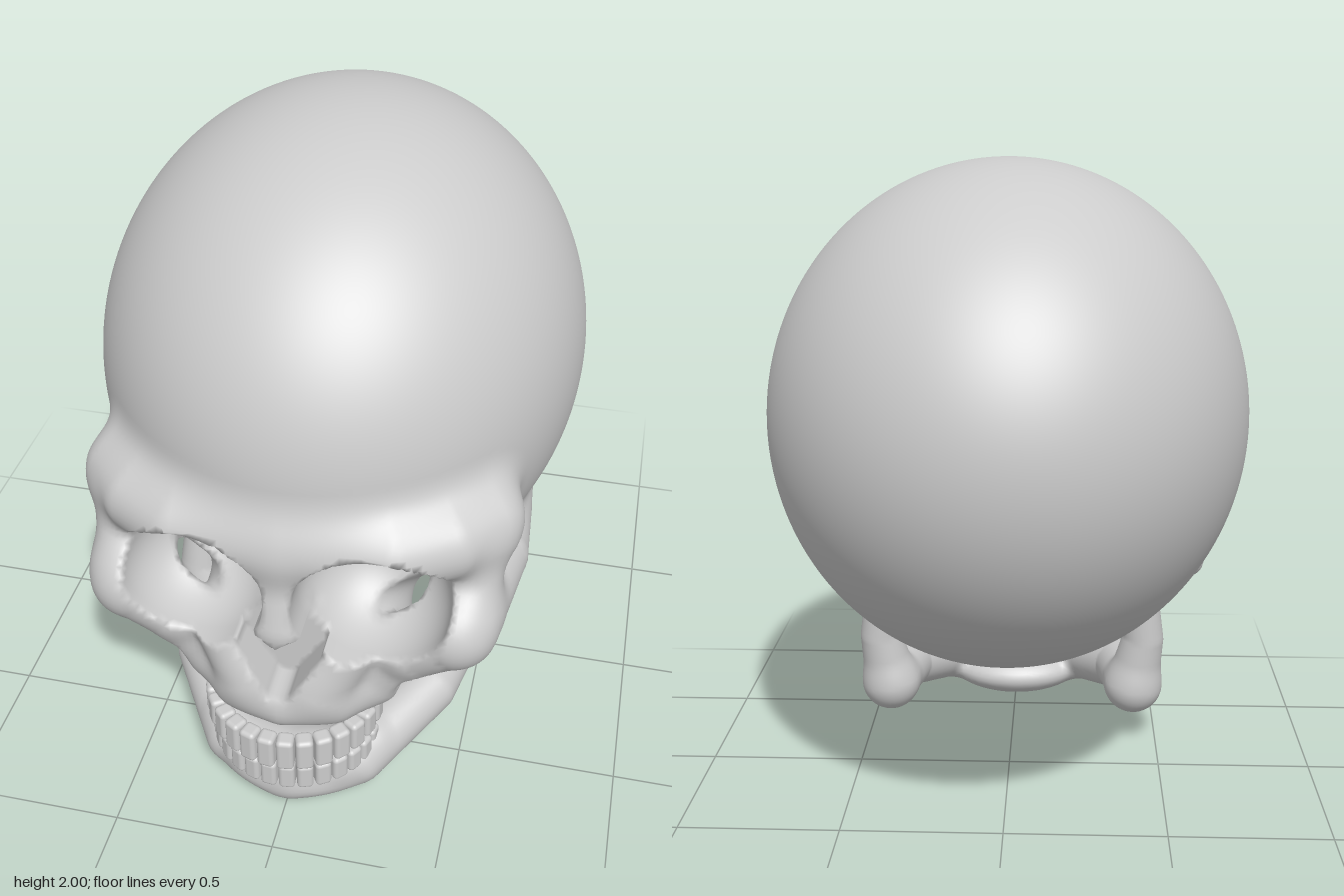
import * as THREE from 'three';
import { RoundedBoxGeometry } from 'three/addons/geometries/RoundedBoxGeometry.js';

// ---- distance helpers (all shapes are mirrored by using |x|) ----
const smoothMin = (a, b, k) => {
  const h = Math.max(k - Math.abs(a - b), 0) / k;
  return Math.min(a, b) - h * h * k / 4;
};
const smoothCut = (a, b, k) => -smoothMin(-a, b, k);

function ellipsoid(x, y, z, c, r) {
  const px = (x - c[0]) / r[0], py = (y - c[1]) / r[1], pz = (z - c[2]) / r[2];
  const k0 = Math.hypot(px, py, pz), k1 = Math.hypot(px / r[0], py / r[1], pz / r[2]);
  return k1 < 1e-6 ? -Math.min(...r) : k0 * (k0 - 1) / k1;
}

// Tapered rod through points [x, y, z, radius]
function rod(x, y, z, pts) {
  let d = Infinity;
  for (let i = 0; i < pts.length - 1; i++) {
    const a = pts[i], b = pts[i + 1];
    const bx = b[0] - a[0], by = b[1] - a[1], bz = b[2] - a[2];
    const px = x - a[0], py = y - a[1], pz = z - a[2];
    const t = Math.min(1, Math.max(0, (px * bx + py * by + pz * bz) / (bx * bx + by * by + bz * bz)));
    d = Math.min(d, Math.hypot(px - t * bx, py - t * by, pz - t * bz) - a[3] - t * (b[3] - a[3]));
  }
  return d;
}

// ---- skull shape ----
const brow = [[0, 1.05, 0.765, 0.115], [0.3, 1.05, 0.74, 0.12], [0.44, 1.055, 0.66, 0.12], [0.53, 1.06, 0.56, 0.115]];
const orbitSide = [[0.53, 1.0, 0.6, 0.08], [0.51, 0.82, 0.66, 0.09]];
const cheek = [[0.35, 0.68, 0.72, 0.09], [0.48, 0.765, 0.7, 0.13], [0.56, 0.77, 0.38, 0.095], [0.57, 0.755, 0.15, 0.07], [0.58, 0.74, -0.08, 0.035]];
const noseBridge = [[0, 1.0, 0.75, 0.1], [0, 0.79, 0.8, 0.1]];
const noseSide = [[0.17, 0.68, 0.76, 0.1], [0.1, 0.54, 0.79, 0.1]];
const cheekRoot = [[0.42, 0.69, 0.68, 0.09], [0.25, 0.52, 0.68, 0.1]];
const upperGum = [[0, 0.47, 0.81, 0.085], [0.14, 0.47, 0.77, 0.085], [0.22, 0.47, 0.67, 0.085], [0.25, 0.47, 0.5, 0.08]];
const noseHole = [[0.064, 0.708, 0, 0.062], [0.004, 0.56, 0, 0.034]];

function skullShape(sx, y, z) {
  const x = Math.abs(sx);
  let d = ellipsoid(x, y, z, [0, 1.22, -0.06], [0.74, 0.78, 0.88]);
  d = smoothMin(d, rod(x, y, z, brow), 0.1);
  d = smoothMin(d, ellipsoid(x, y, z, [0, 0.57, 0.5], [0.32, 0.24, 0.37]), 0.08);
  for (const part of [orbitSide, cheek, noseBridge, noseSide, cheekRoot, upperGum])
    d = smoothMin(d, rod(x, y, z, part), 0.06);
  // hollow beside the upper teeth
  d = smoothCut(d, ellipsoid(x, y, z, [0.42, 0.5, 0.71], [0.09, 0.085, 0.09]), 0.04);
  // eye sockets, straight in front and round at the back
  d = smoothCut(d, ellipsoid(x, y, Math.min(z, 0.78), [0.26, 0.88, 0.78], [0.22, 0.205, 0.25]), 0.012);
  // heart-shaped nose opening
  const hole = Math.max(rod(x, y, 0, noseHole), 0.75 - z);
  return smoothCut(d, hole, 0.012);
}

// ---- lower jaw shape ----
const jawBody = [[0, 0.115, 0.755, 0.108], [0.2, 0.135, 0.7, 0.09], [0.38, 0.195, 0.42, 0.088], [0.42, 0.205, 0.21, 0.09]];
const jawBranch = [[0.42, 0.21, 0.21, 0.09], [0.45, 0.38, 0.19, 0.07], [0.435, 0.62, 0.17, 0.052]];
const lowerGum = [[0, 0.155, 0.81, 0.055], [0.14, 0.16, 0.77, 0.055], [0.23, 0.18, 0.66, 0.055]];

function jawShape(sx, y, z) {
  const x = Math.abs(sx);
  let d = rod(x, y, z, jawBody);
  d = smoothMin(d, rod(x, y, z, jawBranch), 0.04);
  d = smoothMin(d, rod(x, y, z, lowerGum), 0.04);
  return smoothMin(d, ellipsoid(x, y, z, [0, 0.1, 0.66], [0.24, 0.088, 0.2]), 0.04);
}

// ---- turns a distance function into a smooth surface on a grid ----
function surface(f, min, max, cell) {
  const n = min.map((m, i) => Math.ceil((max[i] - m) / cell) + 1);
  const step = [1, n[0], n[0] * n[1]];
  const val = new Float32Array(n[0] * n[1] * n[2]);
  for (let k = 0, q = 0; k < n[2]; k++)
    for (let j = 0; j < n[1]; j++)
      for (let i = 0; i < n[0]; i++)
        val[q++] = f(min[0] + i * cell, min[1] + j * cell, min[2] + k * cell);

  const id = new Int32Array(val.length).fill(-1);
  const pos = [], nor = [], index = [], e = 0.004;
  const grad = (x, y, z) => new THREE.Vector3(
    f(x + e, y, z) - f(x - e, y, z), f(x, y + e, z) - f(x, y - e, z), f(x, y, z + e) - f(x, y, z - e));
  const eachCell = (from, fn) => {
    for (let k = from; k < n[2] - 1; k++)
      for (let j = from; j < n[1] - 1; j++)
        for (let i = from; i < n[0] - 1; i++) fn([i, j, k], i + j * step[1] + k * step[2]);
  };

  // one point per cell the surface passes through
  eachCell(0, (c, q) => {
    const sum = [0, 0, 0];
    let count = 0;
    for (let corner = 0; corner < 8; corner++) {
      const o = [corner & 1, (corner >> 1) & 1, corner >> 2];
      const qa = q + o[0] + o[1] * step[1] + o[2] * step[2];
      for (let a = 0; a < 3; a++) {
        if (o[a]) continue;
        const va = val[qa], vb = val[qa + step[a]];
        if ((va < 0) === (vb < 0)) continue;
        for (let m = 0; m < 3; m++) sum[m] += o[m] + (m === a ? va / (va - vb) : 0);
        count++;
      }
    }
    if (!count) return;
    const p = new THREE.Vector3(...sum.map((s, m) => min[m] + (c[m] + s / count) * cell));
    // pull the point onto the true surface
    for (let pass = 0; pass < 2; pass++) {
      const g = grad(p.x, p.y, p.z).divideScalar(2 * e);
      const move = -f(p.x, p.y, p.z) / Math.max(g.lengthSq(), 0.25);
      p.addScaledVector(g, THREE.MathUtils.clamp(move, -cell / 3, cell / 3));
    }
    id[q] = pos.length / 3;
    pos.push(p.x, p.y, p.z);
    const g = grad(p.x, p.y, p.z).normalize();
    nor.push(g.x, g.y, g.z);
  });

  // one quad around every grid edge the surface crosses
  eachCell(1, (c, q) => {
    for (let a = 0; a < 3; a++) {
      const inside = val[q] < 0;
      if (inside === (val[q + step[a]] < 0)) continue;
      const u = step[(a + 1) % 3], v = step[(a + 2) % 3];
      const A = id[q - u - v], B = id[q - v], C = id[q], D = id[q - u];
      if (inside) index.push(A, B, C, A, C, D);
      else index.push(A, C, B, A, D, C);
    }
  });

  const geometry = new THREE.BufferGeometry();
  geometry.setAttribute('position', new THREE.Float32BufferAttribute(pos, 3));
  geometry.setAttribute('normal', new THREE.Float32BufferAttribute(nor, 3));
  geometry.setIndex(index);
  return geometry;
}

// ---- a curved row of teeth ----
function toothRow(name, material, { a, b, zc, bottom, top, width }) {
  const row = new THREE.Group();
  row.name = name;
  const count = 14;
  for (let i = 0; i < count; i++) {
    const s = (i - (count - 1) / 2) / ((count - 1) / 2), t = s * 1.45;
    const y0 = bottom(s), y1 = top(s);
    const tooth = new THREE.Mesh(new RoundedBoxGeometry(width, y1 - y0, 0.055, 3, 0.014), material);
    tooth.name = 'tooth';
    tooth.position.set(a * Math.sin(t), (y0 + y1) / 2, zc + b * Math.cos(t));
    tooth.rotation.y = t;
    row.add(tooth);
  }
  return row;
}

export function createModel() {
  const bone = new THREE.MeshStandardMaterial({ color: 0xcccccc });
  bone.name = 'bone';
  const model = new THREE.Group();
  model.name = 'skullModel';

  const skull = new THREE.Mesh(surface(skullShape, [-0.81, 0.25, -1.01], [0.81, 2.07, 1.0], 0.02), bone);
  skull.name = 'skull';
  const jaw = new THREE.Mesh(surface(jawShape, [-0.6, -0.06, 0.03], [0.6, 0.74, 0.96], 0.016), bone);
  jaw.name = 'lowerJaw';

  model.add(skull, jaw,
    toothRow('upperTeeth', bone, {
      a: 0.25, b: 0.247, zc: 0.665, width: 0.053, bottom: s => 0.29 + 0.03 * s * s, top: () => 0.405,
    }),
    toothRow('lowerTeeth', bone, {
      a: 0.236, b: 0.236, zc: 0.657, width: 0.05, bottom: () => 0.185, top: s => 0.28 - 0.02 * s * s,
    }));
  return model;
}
